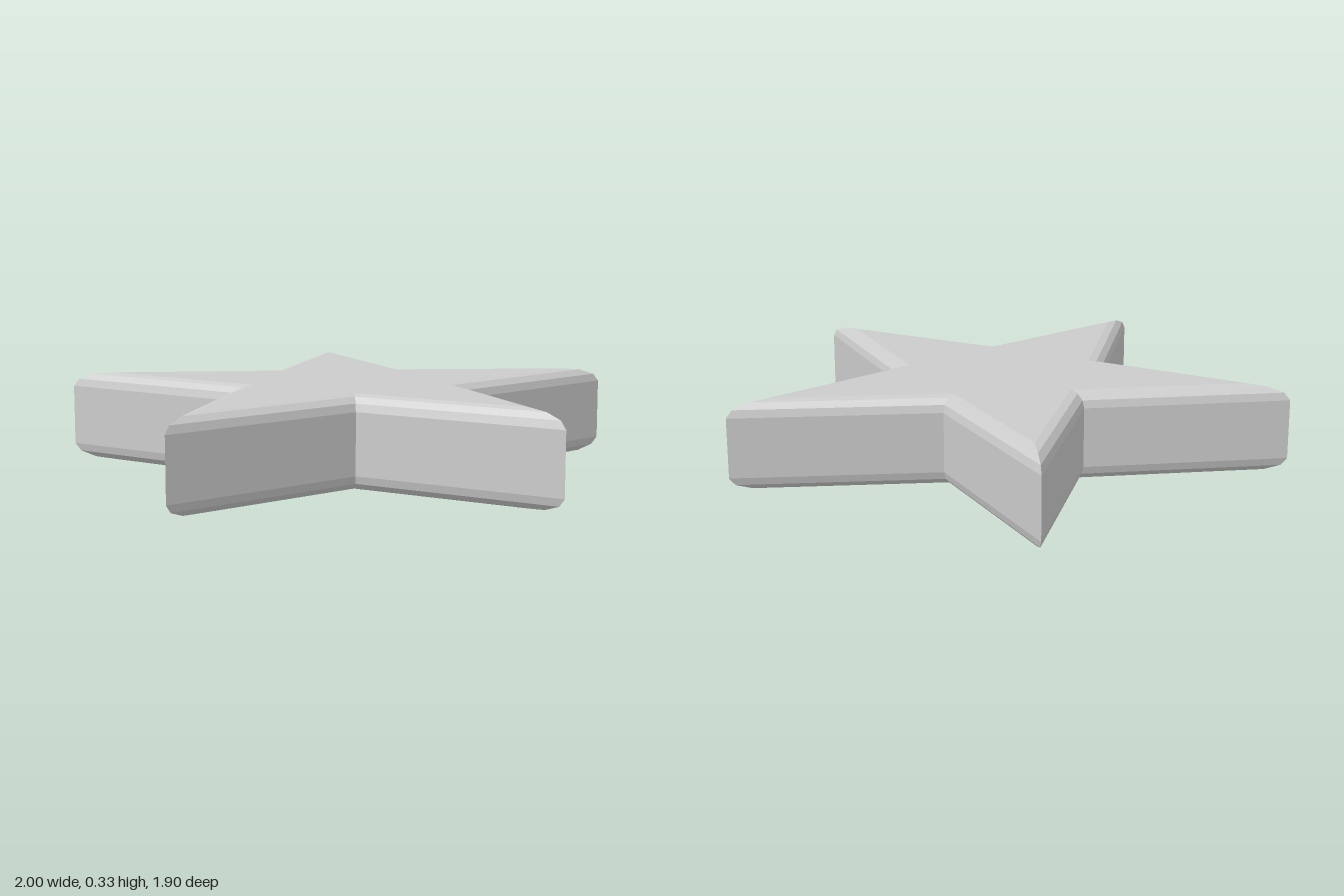
import * as THREE from 'three';

const OUTER = 1.0515, INNER = 0.423; // tip and notch radii
const HEIGHT = 0.328, BEVEL = 0.055, STEPS = 3;
const CENTRE_Z = 0.1;

// Distance from the centre to each side; insetting the outline scales it about the centre
const EDGE_DISTANCE = 0.348;

// Rings from bottom centre to top centre: [scale, y]
function bevelProfile() {
  const lower = [];
  for (let i = 0; i <= STEPS; i++) {
    const t = (i / STEPS) * Math.PI / 2;
    lower.push([1 - BEVEL * (1 - Math.sin(t)) / EDGE_DISTANCE, BEVEL * (1 - Math.cos(t))]);
  }
  const upper = lower.map(([s, y]) => [s, HEIGHT - y]).reverse();
  return [[0, 0], ...lower, ...upper, [0, HEIGHT]];
}

// Star outline, alternating tip and notch, with one tip pointing back
function starPoint(i, scale, y) {
  const a = (i % 10) * Math.PI / 5;
  const r = (i % 2 ? INNER : OUTER) * scale;
  return [r * Math.sin(a), y, CENTRE_Z - r * Math.cos(a)];
}

function starGeometry() {
  const rings = bevelProfile();
  const positions = [];
  for (let k = 0; k < rings.length - 1; k++) {
    const [s0, y0] = rings[k], [s1, y1] = rings[k + 1];
    for (let i = 0; i < 10; i++) {
      const a = starPoint(i, s0, y0), b = starPoint(i + 1, s0, y0);
      const c = starPoint(i + 1, s1, y1), d = starPoint(i, s1, y1);
      if (s0 > 0) positions.push(...a, ...d, ...b);
      if (s1 > 0) positions.push(...b, ...d, ...c);
    }
  }
  const geometry = new THREE.BufferGeometry();
  geometry.setAttribute('position', new THREE.Float32BufferAttribute(positions, 3));
  geometry.computeVertexNormals();
  return geometry;
}

export function createModel() {
  const group = new THREE.Group();
  group.name = 'star';
  // Five-pointed slab with bevelled rims above and below
  const body = new THREE.Mesh(
    starGeometry(),
    new THREE.MeshStandardMaterial({ color: 0xcccccc, flatShading: true })
  );
  body.name = 'starBody';
  group.add(body);
  return group;
}
